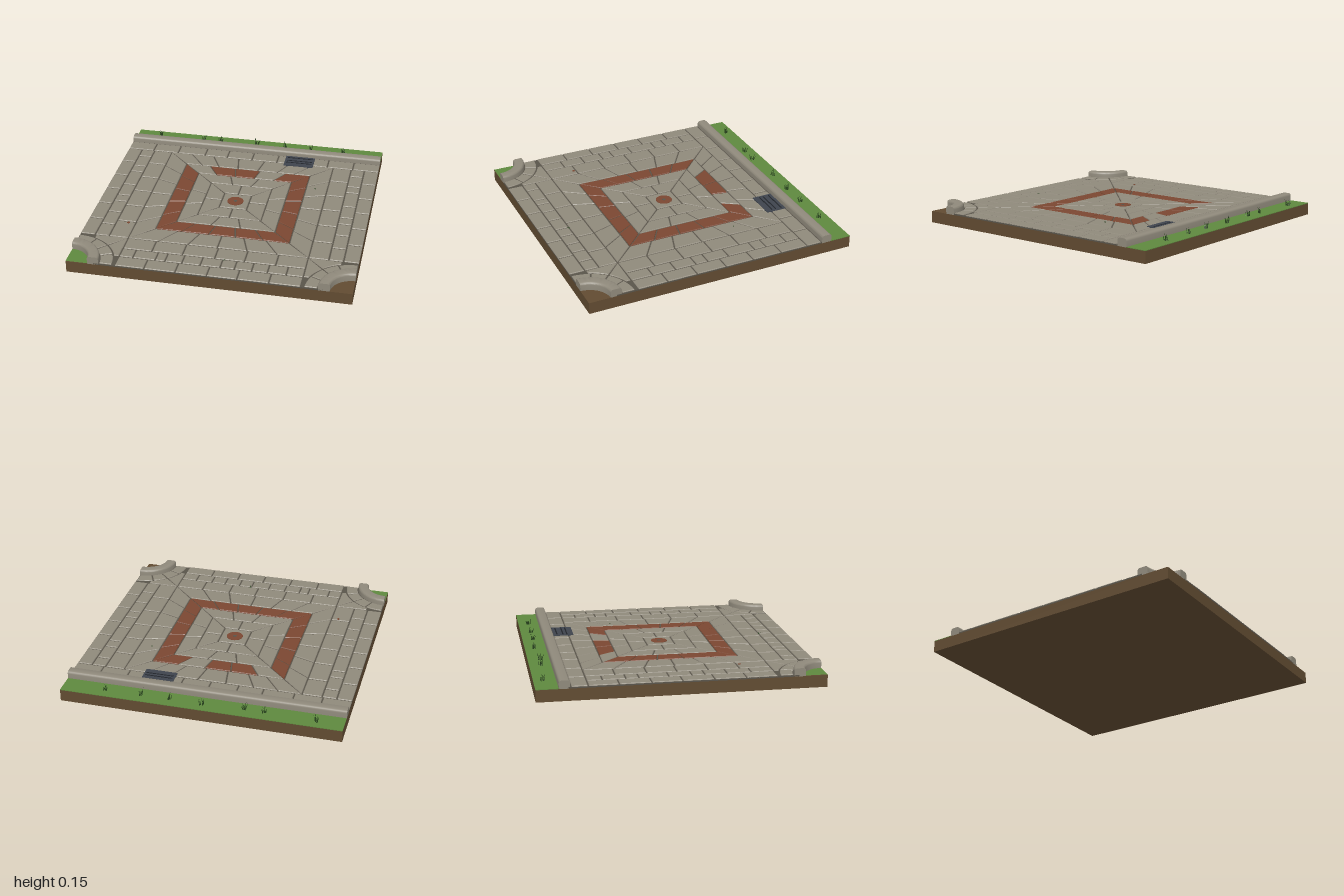
import * as THREE from 'three';
import { mergeGeometries, toCreasedNormals } from 'three/addons/utils/BufferGeometryUtils.js';

const BASE = 0.085, MORTAR = 0.095, PAVE = 0.102;

export function createModel() {
  const model = new THREE.Group();
  const mat = (name, color, side = THREE.FrontSide) => {
    const m = new THREE.MeshStandardMaterial({ color, side });
    m.name = name;
    return m;
  };
  const stone = mat('stone', 0x8f897b, THREE.DoubleSide);
  const rust = mat('red brick', 0x7b4731);
  const mortar = mat('mortar', 0x59544a);
  const soil = mat('soil', 0x614b31);
  const grass = mat('grass', 0x5e883e);
  const blade = mat('dark grass', 0x2c4a20, THREE.DoubleSide);
  const iron = mat('drain iron', 0x3e444d);
  const slot = mat('drain slot', 0x20242a);

  const add = (name, geo, material) => {
    const mesh = new THREE.Mesh(geo, material);
    mesh.name = name;
    model.add(mesh);
    return mesh;
  };
  const box = (name, x0, x1, y0, y1, z0, z1, material) => add(name,
    new THREE.BoxGeometry(x1 - x0, y1 - y0, z1 - z0)
      .translate((x0 + x1) / 2, (y0 + y1) / 2, (z0 + z1) / 2), material);
  // Plan outlines are lists of [x, z]
  const plan = pts => new THREE.Shape(pts.map(([x, z]) => new THREE.Vector2(x, -z)));
  const arc = (r, a0, a1, n) => Array.from({ length: n + 1 }, (_, i) => {
    const a = a0 + (a1 - a0) * i / n;
    return [r * Math.cos(a), r * Math.sin(a)];
  });

  // Paving stones: inset, chamfered slabs gathered by colour
  const slabs = { stone: [], rust: [] };
  const slab = (pts, kind = 'stone') => {
    const g = new THREE.ExtrudeGeometry(plan(pts), {
      depth: 0.004, bevelThickness: 0.004, bevelSize: 0.004, bevelOffset: -0.009, bevelSegments: 1,
    });
    slabs[kind].push(g.rotateX(-Math.PI / 2).translate(0, PAVE - 0.008, 0));
  };
  const rect = (x0, x1, z0, z1) => slab([[x0, z0], [x1, z0], [x1, z1], [x0, z1]]);
  const pairs = (list, fn) => list.slice(1).forEach((v, i) => fn(list[i], v, i));

  // Ground block and lawn strip
  box('groundBlock', -1, 1, 0, BASE, -1, 1, soil);
  box('lawnStrip', -1, 1, BASE, BASE + 0.004, -1, -0.84, grass);

  // Mortar bed with the two front corners cut away
  const cut = arc(0.2, 0, Math.PI / 2, 10);
  const bed = [[-1, -0.78], [1, -0.78],
    ...cut.slice().reverse().map(([u, v]) => [1 - u, 1 - v]),
    ...cut.map(([u, v]) => [u - 1, 1 - v])];
  add('mortarBed', new THREE.ExtrudeGeometry(plan(bed), { depth: MORTAR - BASE, bevelEnabled: false })
    .rotateX(-Math.PI / 2).translate(0, BASE, 0), mortar);

  // Concentric square rings of tapered stones; side 0 is the back
  const ring = (a, b, seamsFor, kindFor = () => 'stone') => {
    for (let k = 0; k < 4; k++) {
      pairs([-1, ...seamsFor(k), 1], (f0, f1, i) => {
        let pts = [[a * f0, -a], [a * f1, -a], [b * f1, -b], [b * f0, -b]];
        for (let r = 0; r < k; r++) pts = pts.map(([x, z]) => [-z, x]);
        slab(pts, kindFor(k, i));
      });
    }
  };
  rect(-0.103, 0.103, -0.103, 0.103);
  ring(0.103, 0.235, () => [0]);
  ring(0.235, 0.362, () => [-0.3, 0.3]);
  ring(0.362, 0.488, () => [-0.61, -0.2, 0.2, 0.61],
    (k, i) => (k === 0 && (i === 0 || i === 3) ? 'stone' : 'rust'));
  ring(0.488, 0.648, k => (k === 0 ? [-0.74, -0.47, -0.16, 0.16, 0.47, 0.74]
    : [-0.66, -0.33, 0, 0.33, 0.66]));

  // Side columns, mirrored
  const even = [-0.648, -0.44, -0.22, -0.01, 0.21, 0.43, 0.648];
  const columns = [
    [0.648, 0.79, even],
    [0.79, 0.893, [-0.648, -0.54, -0.38, -0.29, -0.085, 0.075, 0.165, 0.32, 0.49, 0.648]],
    [0.893, 1.005, even],
  ];
  for (const s of [-1, 1]) {
    for (const [x0, x1, zs] of columns) {
      pairs(zs, (z0, z1) => rect(Math.min(s * x0, s * x1), Math.max(s * x0, s * x1), z0, z1));
    }
  }

  // Back row and three front rows
  const rows = [
    [-0.765, -0.648, [-1.005, -0.8, -0.6, -0.38, -0.2, 0, 0.2, 0.4, 0.6, 0.8, 1.005]],
    [0.648, 0.785, [-0.648, -0.44, -0.22, 0.01, 0.22, 0.44, 0.648]],
    [0.785, 0.888, [-0.648, -0.55, -0.39, -0.32, -0.2, -0.07, 0.07, 0.17, 0.29, 0.4, 0.53, 0.648]],
    [0.888, 1.005, [-0.648, -0.44, -0.22, 0, 0.21, 0.43, 0.648]],
  ];
  for (const [z0, z1, xs] of rows) pairs(xs, (x0, x1) => rect(x0, x1, z0, z1));

  // Rounded curb section: [distance, height], outer side first
  const curbSection = (r0, r1) => {
    const top = 0.143, c = 0.018, pts = [[r1, BASE]];
    for (const [cx, a0] of [[r1 - c, 0], [r0 + c, Math.PI / 2]]) {
      for (const [u, v] of arc(c, a0, a0 + Math.PI / 2, 4)) pts.push([cx + u, top - c + v]);
    }
    pts.push([r0, BASE]);
    return pts.map(([x, y]) => new THREE.Vector2(x, y));
  };

  // Straight curb along the lawn
  const backCurb = new THREE.ExtrudeGeometry(new THREE.Shape(curbSection(0.77, 0.845)),
    { depth: 2, bevelEnabled: false }).rotateY(Math.PI / 2).translate(-1, 0, 0);
  add('backCurb', toCreasedNormals(backCurb, 0.6), stone);

  // Front corners: quarter curb, sector stones and corner wedges
  const deg = Math.PI / 180;
  for (const s of [-1, 1]) {
    const side = s < 0 ? 'right' : 'left';
    const section = curbSection(0.155, 0.235);
    const curb = new THREE.LatheGeometry(section, 20, s < 0 ? Math.PI / 2 : Math.PI, Math.PI / 2);
    add(side + 'CornerCurb', toCreasedNormals(curb, 0.6), stone).position.set(s, 0, 1);
    const end = new THREE.ShapeGeometry(new THREE.Shape(section));
    add(side + 'CurbFrontEnd', s < 0 ? end.clone() : end.clone().rotateY(Math.PI), stone).position.set(s, 0, 1);
    add(side + 'CurbSideEnd', end.clone().rotateY(Math.PI / 2), stone).position.set(s, 0, 1);

    const place = pts => pts.map(([u, v]) => [s * (1 - u), 1 - v]);
    pairs([0, 24, 45, 66, 90], (a0, a1) => slab(place([
      ...arc(0.237, a0 * deg, a1 * deg, 4), ...arc(0.333, a1 * deg, a0 * deg, 4)])));
    const wedge = [...arc(0.333, 45 * deg, 70 * deg, 4), [0.114, 0.352], [0.352, 0.352]];
    slab(place(wedge));
    slab(place(wedge.map(([u, v]) => [v, u])));
  }
  // Planted bed in the right-hand corner
  add('cornerLawn', new THREE.CylinderGeometry(0.158, 0.158, 0.004, 20, 1, false, Math.PI / 2, Math.PI / 2),
    grass).position.set(-1, BASE + 0.002, 1);

  add('pavingStones', mergeGeometries(slabs.stone), stone);
  add('redBorderStones', mergeGeometries(slabs.rust), rust);

  // Centre cover
  const disc = (name, r, y, m) => add(name, new THREE.CylinderGeometry(r, r, 0.004, 24), m).position.set(0, y, 0);
  disc('centreCover', 0.06, PAVE + 0.001, rust);
  disc('centreBoss', 0.014, PAVE + 0.002, mortar);

  // Drain grate
  box('drainGrate', 0.26, 0.49, MORTAR, 0.107, -0.762, -0.612, iron);
  for (const z of [-0.735, -0.69, -0.66]) box('drainSlot', 0.275, 0.475, 0.106, 0.108, z - 0.005, z + 0.005, slot);

  // Grass tufts and small weeds
  let seed = 7;
  const rnd = () => (seed = (seed * 16807) % 2147483647) / 2147483647;
  const tuft = (x, z, y, h, n, spread) => {
    const blades = [];
    for (let i = 0; i < n; i++) {
      const len = h * (0.65 + 0.35 * rnd());
      blades.push(new THREE.ConeGeometry(0.004, len, 3).translate(0, len / 2, 0)
        .rotateX((rnd() - 0.5) * 0.7).rotateZ((rnd() - 0.5) * 0.7)
        .translate(x + (rnd() - 0.5) * spread, y, z + (rnd() - 0.5) * spread));
    }
    add('grassTuft', mergeGeometries(blades), blade);
  };
  for (const [x, z] of [[-0.81, -0.94], [-0.45, -0.92], [-0.31, -0.91], [-0.01, -0.935],
    [0.23, -0.925], [0.43, -0.925], [0.69, -0.925]]) tuft(x, z, BASE + 0.002, 0.06, 7, 0.026);
  for (const [x, z] of [[0.08, 0.79], [0.55, -0.3]]) tuft(x, z, MORTAR, 0.018, 4, 0.018);

  // Fallen leaf
  add('fallenLeaf', new THREE.CylinderGeometry(0.012, 0.012, 0.002, 5), rust).position.set(-0.7, PAVE + 0.001, 0.45);

  return model;
}
